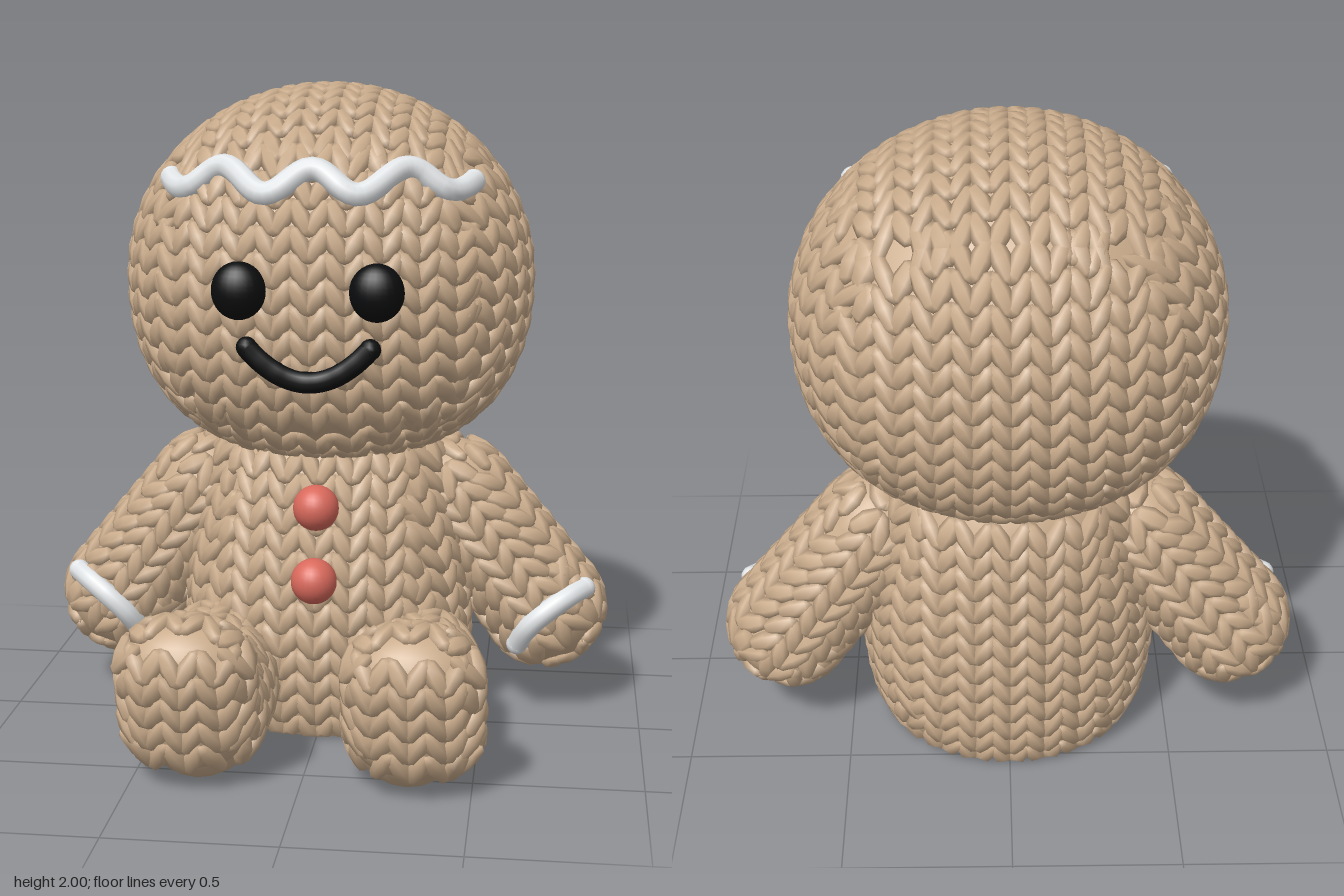
import * as THREE from 'three';
import { mergeGeometries, toCreasedNormals } from 'three/addons/utils/BufferGeometryUtils.js';

const paint = (name, color) => {
  const m = new THREE.MeshStandardMaterial({ color });
  m.name = name;
  return m;
};
const v3 = (x, y, z) => new THREE.Vector3(x, y, z);

// Knit gauge: width of one V column and height of one row
const COL = 0.104, ROW = 0.075;

// Projection sides for the knit: outward direction, column axis, row axis
const SIDES = {
  front: [v3(0, 0, 1), v3(1, 0, 0), v3(0, 1, 0)],
  back: [v3(0, 0, -1), v3(-1, 0, 0), v3(0, 1, 0)],
  left: [v3(1, 0, 0), v3(0, 0, -1), v3(0, 1, 0)],
  right: [v3(-1, 0, 0), v3(0, 0, 1), v3(0, 1, 0)],
  top: [v3(0, 1, 0), v3(1, 0, 0), v3(0, 0, -1)],
  bottom: [v3(0, -1, 0), v3(1, 0, 0), v3(0, 0, 1)],
};
const AROUND = ['front', 'back', 'left', 'right'];
const ALL = [...AROUND, 'top', 'bottom'];

// The two slanted strands of one knit V
const strands = [-1, 1].map((s) => new THREE.SphereGeometry(1, 6, 4)
  .scale(0.029, 0.062, 0.025).rotateZ(-s * 0.5).translate(s * COL / 4, 0, 0));

function moveVertices(geo, rule) {
  const p = geo.attributes.position, v = v3();
  for (let i = 0; i < p.count; i++) {
    rule(v.fromBufferAttribute(p, i));
    p.setXYZ(i, v.x, v.y, v.z);
  }
  geo.computeVertexNormals();
  return geo;
}

// Lay rows of V stitches over a shape from each of the given sides
function knit(base, sides, floor) {
  const ray = new THREE.Raycaster(), box = new THREE.Box3().setFromObject(base);
  const mid = box.getCenter(v3()), size = box.getSize(v3()), out = [];
  for (const side of sides) {
    const [d, U, V] = SIDES[side];
    const span = (a) => Math.abs(a.dot(size)) / 2;
    const nu = Math.ceil(span(U) / COL), nv = Math.ceil(span(V) / ROW);
    for (let i = -nu; i <= nu; i++) for (let j = -nv; j <= nv; j++) for (const k of [0, 1]) {
      const shift = (k - 0.5) * COL / 2;
      const from = mid.clone().addScaledVector(U, i * COL + shift)
        .addScaledVector(V, j * ROW).addScaledVector(d, 3);
      ray.set(from, d.clone().negate());
      const hit = ray.intersectObject(base)[0];
      if (!hit) continue;
      const n = hit.normal, facing = n.dot(d);
      // Each side covers only the surface that faces it most
      if (facing < Math.max(Math.abs(n.dot(U)), Math.abs(n.dot(V))) - 0.03) continue;
      const tu = U.clone().addScaledVector(d, -U.dot(n) / facing);
      const tv = V.clone().addScaledVector(d, -V.dot(n) / facing);
      const origin = hit.point.clone().addScaledVector(tu, -shift);
      out.push(strands[k].clone().applyMatrix4(
        new THREE.Matrix4().makeBasis(tu, tv, n).setPosition(origin)));
    }
  }
  const geo = mergeGeometries(out);
  if (floor) {
    const p = geo.attributes.position;
    for (let i = 0; i < p.count; i++) p.setY(i, Math.max(0, p.getY(i)));
  }
  return geo;
}

export function createModel() {
  const model = new THREE.Group();
  model.name = 'knittedCookieDoll';
  const tan = paint('tanYarn', 0xcaac8c), white = paint('whiteIcing', 0xe2e5e7);
  const black = paint('blackFelt', 0x0b0c0d), red = paint('redButton', 0xd9695c);

  function knitted(name, geo, sides, floor = false) {
    const g = new THREE.Group();
    g.name = name;
    const core = new THREE.Mesh(geo, tan);
    core.name = name + 'Core';
    const wool = new THREE.Mesh(knit(core, sides, floor), tan);
    wool.name = name + 'Stitches';
    g.add(core, wool);
    model.add(g);
    return g;
  }
  function add(name, geo, mat, x = 0, y = 0, z = 0) {
    const m = new THREE.Mesh(geo, mat);
    m.name = name;
    m.position.set(x, y, z);
    model.add(m);
    return m;
  }
  // Round-ended cord laid on the front of a part along x, y points
  function cord(name, target, points, radius, mat, lift) {
    model.updateMatrixWorld(true);
    const ray = new THREE.Raycaster(), path = [];
    for (const [x, y] of points) {
      ray.set(v3(x, y, 3), v3(0, 0, -1));
      const hit = ray.intersectObject(target)[0];
      if (hit) path.push(hit.point.clone().add(v3(0, 0, lift)));
    }
    const curve = new THREE.CatmullRomCurve3(path);
    const ends = [path[0], path[path.length - 1]].map((p) =>
      new THREE.SphereGeometry(radius, 12, 8).translate(p.x, p.y, p.z));
    add(name, mergeGeometries([new THREE.TubeGeometry(curve, 64, radius, 10), ...ends]), mat);
  }

  // Head: round on top, a little fuller towards the chin
  const headGeo = moveVertices(new THREE.SphereGeometry(1, 40, 28), (v) => {
    const p = v.y < 0 ? 2.4 : 2;
    const s = (Math.hypot(v.x, v.z) ** p + Math.abs(v.y) ** p) ** (-1 / p);
    v.multiplyScalar(s).multiply(v3(0.622, 0.57, 0.573)).add(v3(0, 1.41, -0.19));
  });
  const head = knitted('head', headGeo, ALL);

  // Body: pear shape with a flat seat, leaning back towards the neck
  const profile = [[0, 0], [0.37, 0], [0.41, 0.06], [0.44, 0.2], [0.45, 0.36],
    [0.44, 0.52], [0.4, 0.7], [0.36, 0.86], [0.3, 0.93], [0, 0.95]];
  const bodyGeo = new THREE.LatheGeometry(profile.map((p) => new THREE.Vector2(...p)), 40);
  moveVertices(bodyGeo, (v) => {
    v.z = v.z * 0.95 - 0.17 - 0.06 * Math.max(0, (v.y - 0.4) / 0.5);
  });
  knitted('body', toCreasedNormals(bodyGeo, 0.9), AROUND, true);

  for (const s of [1, -1]) {
    const side = s > 0 ? 'left' : 'right';

    // Leg with upturned foot, flat underneath
    const shin = new THREE.CapsuleGeometry(0.185, 0.37, 8, 24).rotateX(Math.PI / 2)
      .scale(1, 1.1, 1).translate(s * 0.31, 0.19, 0.3);
    const foot = new THREE.CapsuleGeometry(0.14, 0.2, 8, 24).scale(1.38, 1, 1)
      .rotateX(0.3).translate(s * 0.33, 0.27, 0.58);
    const legGeo = moveVertices(mergeGeometries([shin, foot]), (v) => { v.y = Math.max(0, v.y); });
    knitted(side + 'Leg', toCreasedNormals(legGeo, 0.8), [...AROUND, 'top'], true);

    // Arm: hanging capsule, wider at the mitten, swung outwards
    const armGeo = moveVertices(new THREE.CapsuleGeometry(0.185, 0.46, 8, 24), (v) => {
      const k = 1 - 0.2 * THREE.MathUtils.clamp(v.y + 0.2, 0, 0.5);
      v.x *= k;
      v.z *= k * 1.06;
    });
    const arm = knitted(side + 'Arm', armGeo, ALL);
    arm.position.set(s * 0.55, 0.51, -0.23);
    arm.rotation.z = s * 0.66;

    // Icing cuff across the wrist
    cord(side + 'Cuff', arm.children[0],
      [[0.82, 0.42], [0.77, 0.405], [0.71, 0.37], [0.65, 0.315], [0.61, 0.24]]
        .map(([x, y]) => [s * x, y]), 0.034, white, 0.012);

    // Eye
    add(side + 'Eye', new THREE.SphereGeometry(1, 24, 16).scale(0.08, 0.085, 0.06),
      black, s * 0.2, 1.43, 0.395);
  }

  // Wavy icing over the forehead
  const wave = Array.from({ length: 45 }, (_, i) => {
    const x = -0.455 + 0.91 * i / 44;
    return [x, 1.735 + 0.035 * Math.cos(x * Math.PI * 2 / 0.27)];
  });
  cord('foreheadIcing', head.children[0], wave, 0.036, white, 0.022);

  // Smile
  const smile = Array.from({ length: 17 }, (_, i) => {
    const x = -0.18 + 0.36 * i / 16;
    return [x, 1.162 + 0.1 * (x / 0.18) ** 2];
  });
  cord('mouth', head.children[0], smile, 0.032, black, 0.03);

  // Buttons
  for (const [name, y, z] of [['upperButton', 0.74, 0.2], ['lowerButton', 0.525, 0.255]]) {
    add(name, new THREE.SphereGeometry(0.07, 24, 16), red, 0, y, z);
  }
  return model;
}
